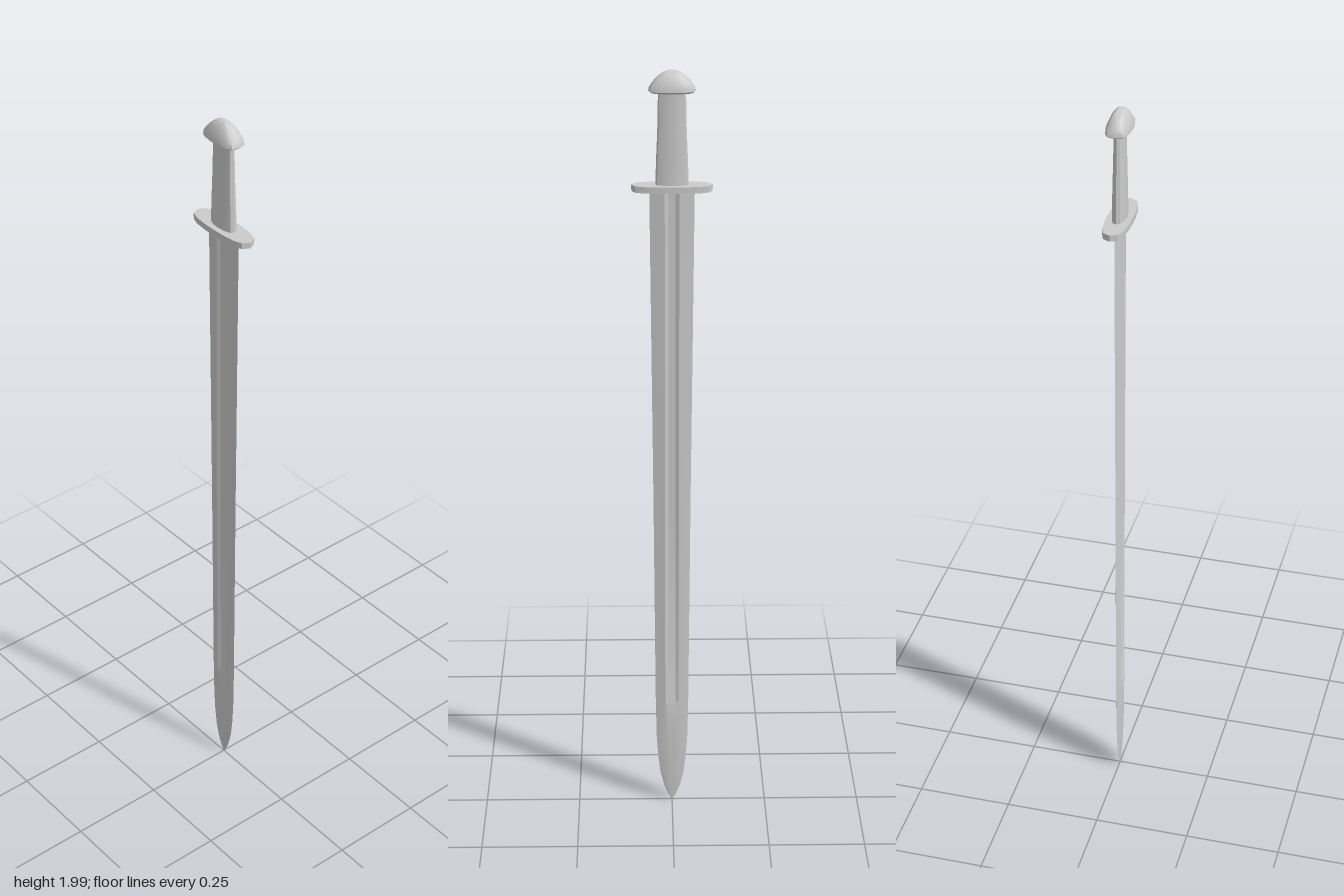
import * as THREE from 'three';
import { toCreasedNormals } from 'three/addons/utils/BufferGeometryUtils.js';

// Skins a stack of equal-length horizontal rings (bottom to top) and caps both ends.
function loft(name, rings, crease) {
  const n = rings[0].length, pos = [], idx = [];
  rings.forEach(r => r.forEach(p => pos.push(...p)));
  for (let i = 0; i < rings.length - 1; i++) {
    for (let j = 0; j < n; j++) {
      const a = i * n + j, b = i * n + (j + 1) % n, c = a + n, d = b + n;
      idx.push(a, c, b, b, c, d);
    }
  }
  const top = (rings.length - 1) * n, base = rings.length * n;
  pos.push(0, rings[0][0][1], 0, 0, rings[rings.length - 1][0][1], 0);
  for (let j = 0; j < n; j++) {
    const k = (j + 1) % n;
    idx.push(base, j, k, base + 1, top + k, top + j);
  }
  const g = new THREE.BufferGeometry();
  g.setAttribute('position', new THREE.Float32BufferAttribute(pos, 3));
  g.setIndex(idx);
  const mesh = new THREE.Mesh(toCreasedNormals(g, crease),
    new THREE.MeshStandardMaterial({ color: 0xcccccc }));
  mesh.name = name;
  return mesh;
}

// Flattened oval, mirrored from one quarter of unit points running from +x to +z.
function oval(quarter, y, w, d) {
  const q = quarter.map(([x, z]) => [x * w, z * d]);
  const inner = q.slice(1, -1);
  const half = [...q, ...inner.map(([x, z]) => [-x, z]).reverse()];
  return [...half, ...half.map(([x, z]) => [-x, -z])].map(([x, z]) => [x, y, z]);
}

const guardOval = [[1, 0], [0.91, 0.6], [0.7, 0.84], [0.35, 0.97], [0, 1]];
const pommelOval = [[1, 0], [0.92, 0.6], [0.7, 0.84], [0.35, 0.97], [0, 1]];
const gripOval = [[1, 0], [0.9, 0.55], [0.5, 0.9], [0, 1]];

export function createModel() {
  const group = new THREE.Group();
  group.name = 'sword';

  // Blade: [y, half width, half thickness, fuller depth]
  const stations = [
    [0.008, 0.001, 0.0005, 0], [0.025, 0.011, 0.0015, 0], [0.05, 0.021, 0.003, 0],
    [0.09, 0.031, 0.0045, 0], [0.14, 0.037, 0.0055, 0], [0.2, 0.041, 0.0065, 0],
    [0.298, 0.043, 0.007, 0], [0.31, 0.0433, 0.007, 0.004],
    [0.9, 0.048, 0.007, 0.004], [1.4, 0.053, 0.007, 0.004], [1.705, 0.056, 0.007, 0.004],
  ];
  group.add(loft('blade', stations.map(([y, w, t, d]) => {
    const f = Math.min(0.018, w * 0.42);
    const half = [[w, 0], [f, t], [f * 0.5, t - d], [-f * 0.5, t - d], [-f, t]];
    return [...half, ...half.map(([x, z]) => [-x, -z])].map(([x, z]) => [x, y, z]);
  }), 0.35));

  // Crossguard
  group.add(loft('guard', [1.7, 1.716].map(y => oval(guardOval, y, 0.1, 0.031)), 0.6));

  // Grip, tapering towards the pommel
  const grip = [[1.714, 0.041, 0.017], [1.78, 0.039, 0.016], [1.85, 0.036, 0.0145], [1.95, 0.034, 0.012]];
  group.add(loft('grip', grip.map(([y, w, d]) => oval(gripOval, y, w, d)), 0.5));

  // Domed pommel with a short bevelled rim
  const dome = [
    [1.945, 0.053, 0.027], [1.949, 0.058, 0.031], [1.959, 0.056, 0.03], [1.972, 0.047, 0.025],
    [1.984, 0.036, 0.0195], [1.993, 0.023, 0.0125], [1.998, 0.011, 0.006], [2, 0.001, 0.0006],
  ];
  group.add(loft('pommel', dome.map(([y, w, d]) => oval(pommelOval, y, w, d)), 0.7));

  return group;
}
